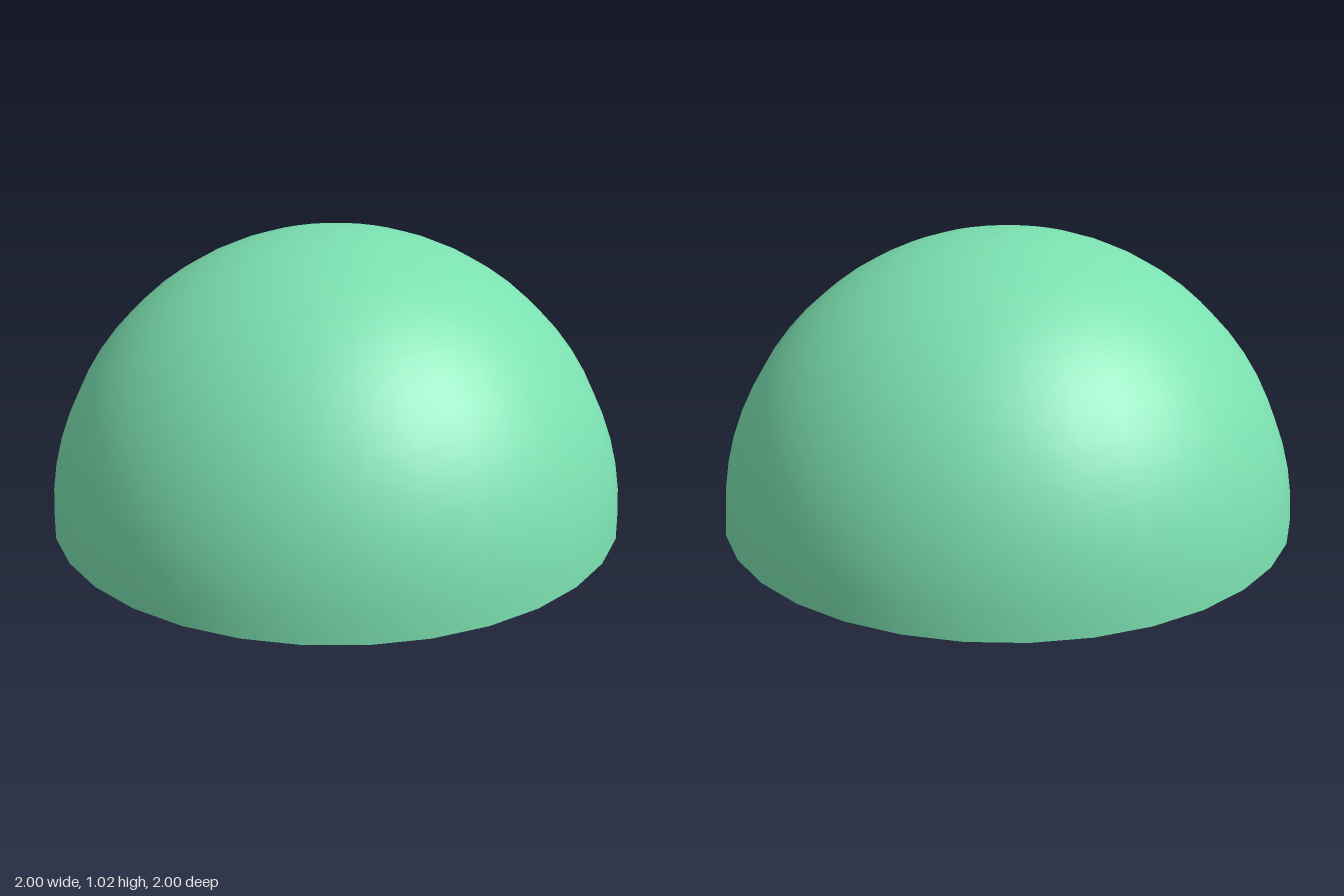
import * as THREE from 'three';

export function createModel() {
  const green = new THREE.MeshStandardMaterial({ color: 0x7be0b0 });
  green.name = 'mint green';
  const grey = new THREE.MeshStandardMaterial({ color: 0x807c86 });
  grey.name = 'warm grey';

  const model = new THREE.Group();
  model.name = 'domeTheatre';
  const add = (name, geometry, material, x = 0, y = 0, z = 0) => {
    const mesh = new THREE.Mesh(geometry, material);
    mesh.name = name;
    mesh.position.set(x, y, z);
    model.add(mesh);
    return mesh;
  };

  const base = 0.02, outer = 1, inner = 0.963, sides = 32;

  // Thick half-sphere shell: outside, inside and the flat rim between them
  const arc = (radius) => Array.from({ length: 17 }, (_, i) => {
    const a = (i / 16) * Math.PI / 2;
    return new THREE.Vector2(Math.max(0, radius * Math.cos(a)), radius * Math.sin(a));
  });
  add('domeOutside', new THREE.LatheGeometry(arc(outer), sides), green, 0, base);
  add('domeInside', new THREE.LatheGeometry(arc(inner).reverse(), sides), green, 0, base);
  add('domeRim', new THREE.RingGeometry(inner, outer, sides).rotateX(Math.PI / 2), green, 0, base);

  // Thin flat floor ring and eight radial floor marks
  const ringShape = new THREE.Shape().absarc(0, 0, 0.436, 0, Math.PI * 2);
  ringShape.holes.push(new THREE.Path().absarc(0, 0, 0.424, 0, Math.PI * 2));
  const ring = new THREE.ExtrudeGeometry(ringShape, { depth: 0.003, bevelEnabled: false, curveSegments: 32 });
  add('floorRing', ring.rotateX(Math.PI / 2), green, 0, base + 0.006);
  for (let i = 0; i < 8; i++) {
    const a = i * Math.PI / 4;
    const mark = add('floorMark', new THREE.BoxGeometry(0.085, 0.003, 0.014), green,
      0.715 * Math.cos(a), base + 0.005, 0.715 * Math.sin(a));
    mark.rotation.y = -a;
  }

  // Projector: slightly waisted drum with flat ends and a small domed top
  add('projectorBase', new THREE.CylinderGeometry(0.067, 0.073, 0.025, 32), grey, 0, 0.3095);
  add('projectorBody', new THREE.CylinderGeometry(0.074, 0.067, 0.04, 32, 1, true), grey, 0, 0.342);
  add('projectorCollar', new THREE.CylinderGeometry(0.074, 0.074, 0.038, 32), grey, 0, 0.381);
  add('projectorTop', new THREE.SphereGeometry(0.05, 24, 12), grey, 0, 0.396);

  // Three rods that splay outwards as they rise
  const up = new THREE.Vector3(0, 1, 0);
  for (let i = 0; i < 3; i++) {
    const a = i * Math.PI * 2 / 3;
    const point = (r, y) => new THREE.Vector3(r * Math.cos(a), y, r * Math.sin(a));
    const foot = point(0.043, 0.0045), top = point(0.172, 0.325);
    const along = top.clone().sub(foot);
    const rod = add('supportRod', new THREE.CylinderGeometry(0.012, 0.012, along.length(), 12), grey);
    rod.position.copy(foot).add(top).multiplyScalar(0.5);
    rod.quaternion.setFromUnitVectors(up, along.normalize());
  }

  return model;
}
